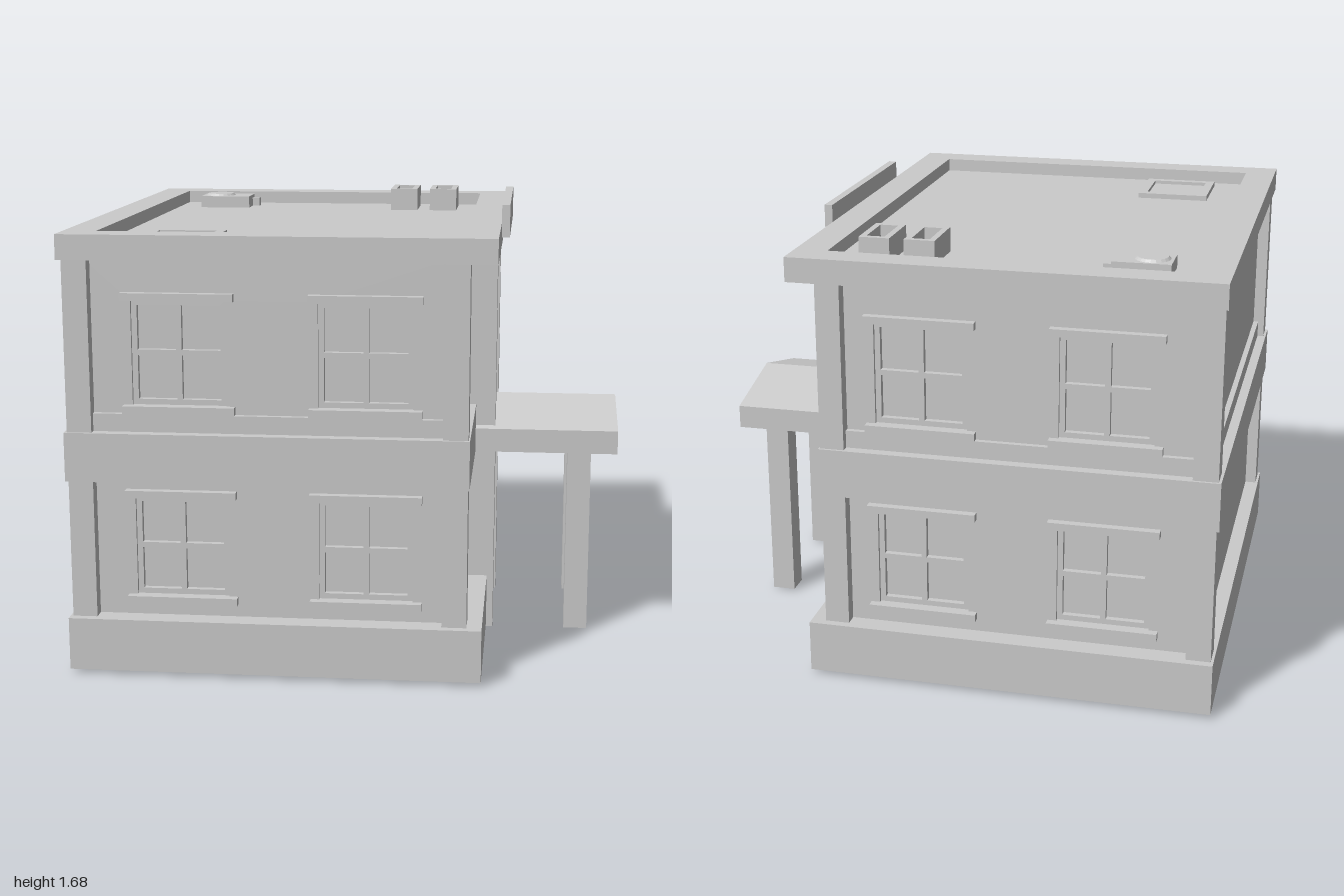
import * as THREE from 'three';

const grey = new THREE.MeshStandardMaterial({ color: 0xcccccc, flatShading: true });

function add(parent, name, geometry) {
  const mesh = new THREE.Mesh(geometry, grey);
  mesh.name = name;
  parent.add(mesh);
  return mesh;
}

// Box given by its minimum and maximum on each axis
function box(parent, name, x0, x1, y0, y1, z0, z1) {
  const mesh = add(parent, name, new THREE.BoxGeometry(x1 - x0, y1 - y0, z1 - z0));
  mesh.position.set((x0 + x1) / 2, (y0 + y1) / 2, (z0 + z1) / 2);
  return mesh;
}

function outline(points, Type = THREE.Shape) {
  return new Type(points.map(([x, y]) => new THREE.Vector2(x, y)));
}

function rect(x0, x1, y0, y1, Type) {
  return outline([[x0, y0], [x1, y0], [x1, y1], [x0, y1]], Type);
}

function extrude(shape, depth) {
  return new THREE.ExtrudeGeometry(shape, { depth, bevelEnabled: false });
}

// Flat ring lying in the xz plane between y0 and y1
function ring(parent, name, x0, x1, z0, z1, border, y0, y1) {
  const shape = rect(x0, x1, -z1, -z0);
  shape.holes.push(rect(x0 + border, x1 - border, -z1 + border, -z0 - border, THREE.Path));
  const mesh = add(parent, name, extrude(shape, y1 - y0));
  mesh.rotation.x = -Math.PI / 2;
  mesh.position.y = y0;
}

// Sash window set into an opening of a wall whose face is at local z = 0
function addWindow(wall, { u, w, y0, y1, cols, head }) {
  const win = new THREE.Group();
  win.name = 'window';
  wall.add(win);
  const l = u - w / 2, r = u + w / 2, t = 0.02;
  box(win, 'glass', l, r, y0, y1, -0.045, -0.035);
  const shape = rect(l, r, y0, y1);
  const pw = (w - 2 * t - (cols - 1) * t) / cols;
  const ph = (y1 - y0 - 3 * t) / 2;
  for (let i = 0; i < cols; i++) {
    for (let j = 0; j < 2; j++) {
      const x = l + t + i * (pw + t), y = y0 + t + j * (ph + t);
      shape.holes.push(rect(x, x + pw, y, y + ph, THREE.Path));
    }
  }
  add(win, 'sash', extrude(shape, 0.022)).position.z = -0.035;
  box(win, 'windowHead', u - head / 2, u + head / 2, y1, y1 + 0.028, -0.02, 0.03);
  box(win, 'windowSill', u - head / 2, u + head / 2, y0 - 0.028, y0, -0.02, 0.03);
}

// Wall with window openings, facing local +z
function facade(parent, name, u0, u1, y0, windows, angle, x, z, doorway) {
  const wall = new THREE.Group();
  wall.name = name;
  const shape = rect(u0, u1, y0, 1.54);
  for (const { u, w, y0: a, y1: b } of windows) {
    shape.holes.push(rect(u - w / 2, u + w / 2, a, b, THREE.Path));
  }
  if (doorway) shape.holes.push(rect(...doorway, THREE.Path));
  add(wall, 'wallPanel', extrude(shape, 0.05)).position.z = -0.05;
  windows.forEach((w) => addWindow(wall, w));
  wall.rotation.y = angle;
  wall.position.set(x, 0, z);
  parent.add(wall);
  return wall;
}

export function createModel() {
  const model = new THREE.Group();
  model.name = 'building';

  // Hollow plinth, notched at the entrance
  const plinth = new THREE.Group();
  plinth.name = 'plinth';
  model.add(plinth);
  box(plinth, 'plinthTop', -1, 0.4, 0.19, 0.21, -0.95, 0.95);
  box(plinth, 'plinthBlankSide', -1, -0.98, 0.015, 0.2, -0.95, 0.95);
  for (const s of [-1, 1]) {
    const span = (a, b) => (s > 0 ? [a, b] : [-b, -a]);
    box(plinth, 'plinthEnd', -1, 0.505, 0.015, 0.21, ...span(0.93, 0.95));
    box(plinth, 'plinthEntranceSide', 0.485, 0.505, 0.015, 0.21, ...span(0.25, 0.95));
    box(plinth, 'plinthLedge', 0.4, 0.505, 0.19, 0.21, ...span(0.25, 0.95));
  }
  box(plinth, 'doorStep', 0.36, 0.46, 0.01, 0.06, -0.2, 0.2);

  // Walls and their windows
  const rows = [[0.285, 0.655], [0.995, 1.375]];
  const pairOf = (sign) => rows.flatMap(([y0, y1]) => [-0.5875, 0.083].map(
    (u) => ({ u: u * sign, w: 0.34, y0, y1, cols: 2, head: 0.405 })));
  facade(model, 'frontWall', -0.945, 0.4, 0.2, pairOf(1), 0, 0, 0.87);
  facade(model, 'backWall', -0.4, 0.945, 0.2, pairOf(-1), Math.PI, 0, -0.87);
  facade(model, 'blankWall', -0.87, 0.87, 0.2, [], -Math.PI / 2, -0.945, 0);
  const sideWindows = [
    { u: 0, w: 0.32, y0: 0.995, y1: 1.38, cols: 2, head: 0.38 },
    ...[-1, 1].flatMap((s) => [
      { u: s * 0.61, w: 0.35, y0: 0.995, y1: 1.38, cols: 2, head: 0.4 },
      { u: s * 0.56, w: 0.48, y0: 0.293, y1: 0.68, cols: 3, head: 0.52 },
    ]),
  ];
  const entrance = facade(model, 'entranceWall', -0.87, 0.87, 0.015, sideWindows,
    Math.PI / 2, 0.4, 0, [-0.15, 0.15, 0.06, 0.68]);

  // Panelled door inside its doorway
  box(entrance, 'doorPanel', -0.15, 0.15, 0.06, 0.68, -0.05, -0.035);
  const door = rect(-0.15, 0.15, 0.06, 0.68);
  for (const [a, b] of [[0.11, 0.265], [0.285, 0.445], [0.465, 0.64]]) {
    door.holes.push(rect(-0.115, 0.115, a, b, THREE.Path));
  }
  add(entrance, 'doorFrame', extrude(door, 0.02)).position.z = -0.035;

  // Corner pilasters
  for (const x of [-0.99, 0.36]) {
    for (const z of [-0.92, 0.825]) {
      box(model, 'cornerPilaster', x, x + 0.09, 0.2, 1.54, z, z + 0.095);
    }
  }

  // Band between the storeys and the skirting above it
  box(model, 'storeyBand', -1, 0.455, 0.72, 0.9, -0.93, 0.93);
  box(model, 'upperSkirting', -0.965, 0.42, 0.9, 0.965, -0.89, 0.89);

  // Entrance pilasters and porch posts
  for (const z of [-0.29, 0.2]) {
    box(model, 'entrancePilaster', 0.36, 0.53, 0, 1.54, z, z + 0.09);
    box(model, 'porchPost', 0.81, 0.9, 0.005, 0.73, z, z + 0.09);
  }

  // Gabled porch roof with a recessed pediment
  const porch = new THREE.Group();
  porch.name = 'porchRoof';
  const gable = [[-0.32, 0.72], [0.32, 0.72], [0.32, 0.81], [0, 0.89], [-0.32, 0.81]];
  const inset = [[-0.285, 0.745], [0.285, 0.745], [0.285, 0.79], [0, 0.862], [-0.285, 0.79]];
  add(porch, 'porchRoofBody', extrude(outline(gable), 0.525)).position.z = 0.45;
  const rim = outline(gable);
  rim.holes.push(outline(inset, THREE.Path));
  add(porch, 'pedimentRim', extrude(rim, 0.025)).position.z = 0.975;
  porch.rotation.y = Math.PI / 2;
  model.add(porch);

  // Cornice, sunken roof and sign board
  ring(model, 'cornice', -1, 0.545, -0.955, 0.955, 0.12, 1.525, 1.615);
  box(model, 'roofDeck', -0.9, 0.46, 1.53, 1.565, -0.85, 0.85);
  box(model, 'signBoard', 0.545, 0.575, 1.56, 1.68, -0.42, 0.42);

  // Roof hatch
  ring(model, 'hatchFrame', -0.755, -0.475, 0.48, 0.77, 0.033, 1.56, 1.585);
  box(model, 'hatchLid', -0.73, -0.5, 1.56, 1.572, 0.5, 0.75);

  // Cooling unit with fan ring and pipe
  box(model, 'coolingUnit', -0.78, -0.57, 1.56, 1.613, -0.745, -0.595);
  const fan = add(model, 'fanRing', new THREE.CylinderGeometry(0.055, 0.065, 0.01, 20));
  fan.position.set(-0.705, 1.617, -0.67);
  box(model, 'coolingPipe', -0.575, -0.54, 1.565, 1.6, -0.73, -0.69);

  // Open-topped vents
  for (const x of [0.052, 0.218]) {
    ring(model, 'ventCasing', x, x + 0.113, -0.77, -0.555, 0.023, 1.56, 1.655);
    box(model, 'ventFloor', x + 0.01, x + 0.103, 1.56, 1.6, -0.76, -0.565);
  }
  return model;
}
